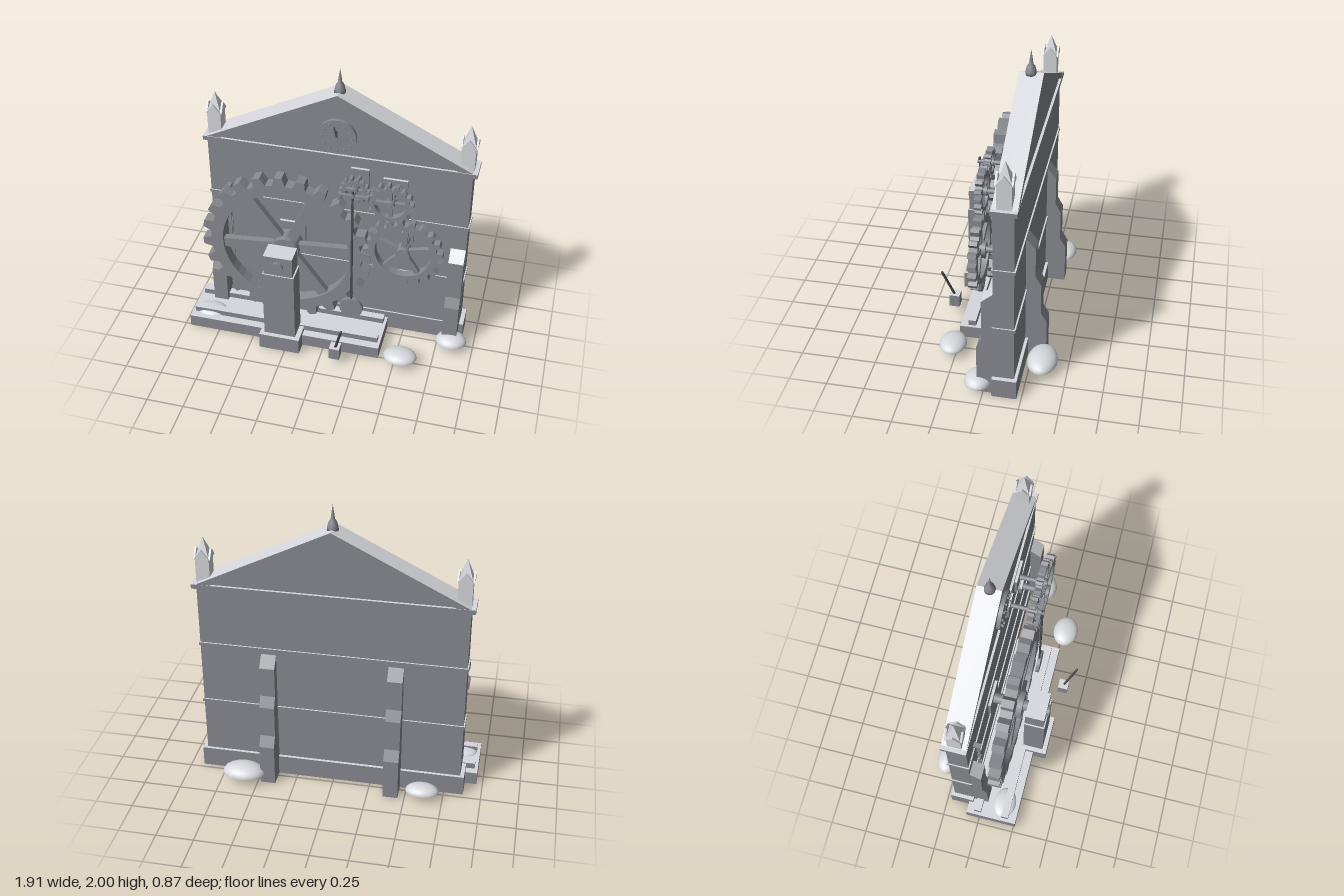
import * as THREE from 'three';

const flat = (name, color) => {
  const m = new THREE.MeshStandardMaterial({ color });
  m.name = name;
  return m;
};
const stone = flat('grey stone', 0x888a91);
const pale = flat('pale stone', 0xd6d8dd);
const iron = flat('dark iron', 0x4a4c52);
const wallZ = -0.07, midZ = -0.14, midX = 0.015;

// gives upward faces the pale colour and the others the grey one
function weather(geo) {
  const g = geo.index ? geo.toNonIndexed() : geo;
  const n = g.attributes.normal;
  g.clearGroups();
  for (let i = 0; i < n.count; i += 3) g.addGroup(i, 3, n.getY(i) > 0.7 ? 1 : 0);
  return g;
}

export function createModel() {
  const root = new THREE.Group();

  const add = (name, geo, material, x = 0, y = 0, z = 0, parent = root) => {
    const m = new THREE.Mesh(geo, material);
    m.name = name;
    m.position.set(x, y, z);
    parent.add(m);
    return m;
  };
  const masonry = (name, geo, x, y, z) => add(name, weather(geo), [stone, pale], x, y, z);
  // boxes given by their limits on each axis
  const box = (x0, x1, y0, y1, z0, z1) =>
    new THREE.BoxGeometry(x1 - x0, y1 - y0, z1 - z0).translate((x0 + x1) / 2, (y0 + y1) / 2, (z0 + z1) / 2);
  const block = (name, ...limits) => masonry(name, box(...limits));
  // cylinder lying along z
  const disc = (name, x, y, r, z0, z1, sides = 24) =>
    add(name, new THREE.CylinderGeometry(r, r, z1 - z0, sides).rotateX(Math.PI / 2), stone, x, y, (z0 + z1) / 2);
  const polygon = pts => new THREE.Shape(pts.map(p => new THREE.Vector2(...p)));
  const slab = (shape, depth) => new THREE.ExtrudeGeometry(shape, { depth, bevelEnabled: false, curveSegments: 24 });

  // wall, plinth and string courses
  block('wall', -0.854, 0.885, 0.12, 1.39, -0.2, wallZ);
  block('plinth', -0.88, 0.914, 0, 0.14, -0.22, -0.06);
  block('cornice', -0.882, 0.914, 1.38, 1.41, -0.222, -0.06);
  for (const y of [0.53, 0.97]) block('stringCourse', -0.862, 0.893, y - 0.01, y + 0.01, -0.21, -0.062);

  // gable with sloping copings
  masonry('gable', slab(polygon([[-0.84, 1.4], [0.87, 1.4], [midX, 1.82]]), 0.13), 0, 0, -0.205);
  const coping = [[-0.865, 1.405], [-0.775, 1.405], [midX, 1.798], [0.805, 1.405], [0.895, 1.405], [midX, 1.845]];
  masonry('gableCoping', slab(polygon(coping), 0.155), 0, 0, -0.22);

  // finial
  const finial = [[0, 1.82], [0.037, 1.83], [0.035, 1.85], [0.026, 1.885], [0.014, 1.9], [0.011, 1.925], [0, 2]];
  add('finial', new THREE.LatheGeometry(finial.map(p => new THREE.Vector2(...p)), 14), stone, midX, 0, midZ);

  // corner pinnacles with four small gables each
  for (const x of [-0.808, 0.842]) {
    const pinnacle = new THREE.Group();
    pinnacle.name = 'pinnacle';
    pinnacle.position.set(x, 0, midZ);
    root.add(pinnacle);
    add('shaft', new THREE.BoxGeometry(0.09, 0.18, 0.09), pale, 0, 1.49, 0, pinnacle);
    const spire = new THREE.ConeGeometry(0.064, 0.135, 4).rotateY(Math.PI / 4).toNonIndexed();
    spire.computeVertexNormals();
    add('spire', spire, pale, 0, 1.645, 0, pinnacle);
    for (let i = 0; i < 4; i++) {
      const g = slab(polygon([[-0.05, 1.575], [0.05, 1.575], [0, 1.64]]), 0.013);
      g.translate(0, 0, 0.042).rotateY(i * Math.PI / 2);
      add('gablet', g, pale, 0, 0, 0, pinnacle);
    }
  }

  // stepped buttresses: profile is [distance out, height]
  const buttress = (name, x, profile, back) => {
    const g = slab(polygon(profile), 0.1).translate(0, 0, -0.05);
    g.rotateY(back ? Math.PI / 2 : -Math.PI / 2);
    masonry(name, g, x, 0, back ? -0.19 : -0.08);
  };
  const frontProfile = [[0, 0], [0.12, 0], [0.12, 0.36], [0.085, 0.43], [0.085, 0.725], [0, 0.8]];
  const backProfile = [[0, 0], [0.15, 0], [0.15, 0.29], [0.11, 0.36], [0.11, 0.58], [0.072, 0.65], [0.072, 0.86], [0, 0.945]];
  for (const x of [-0.802, 0.834]) buttress('frontButtress', x, frontProfile, false);
  for (const x of [-0.405, 0.43]) buttress('backButtress', x, backProfile, true);

  // clock with hour marks and hands
  const cx = 0.018, cy = 1.55;
  disc('clockFace', cx, cy, 0.125, -0.08, -0.05, 36);
  for (let i = 0; i < 12; i++) {
    const a = i * Math.PI / 6;
    disc('hourMark', cx + 0.098 * Math.sin(a), cy + 0.098 * Math.cos(a), 0.008, -0.052, -0.038, 8);
  }
  for (const [len, a] of [[0.08, 0.2], [0.055, -0.05]]) {
    const hand = new THREE.BoxGeometry(0.008, len, 0.006).translate(0, len / 2, 0);
    add('clockHand', hand, iron, cx, cy, -0.042).rotation.z = a;
  }
  disc('clockBoss', cx, cy, 0.008, -0.052, -0.036, 10);

  // machine bed, rails and bearing pier
  block('machineBed', -0.96, 0.388, 0, 0.09, -0.09, 0.26);
  block('backRail', -0.938, 0.368, 0.08, 0.13, -0.04, 0.01);
  block('frontRail', -0.938, 0.368, 0.08, 0.13, 0.155, 0.205);
  block('pierFoot', -0.427, -0.147, 0, 0.12, 0.155, 0.35);
  block('pier', -0.396, -0.18, 0.1, 0.645, 0.18, 0.32);
  block('pierCap', -0.386, -0.19, 0.64, 0.795, 0.182, 0.312);

  // spoked gear: toothed ring, spokes, hub and axle
  const gear = (name, o) => {
    const wheel = new THREE.Group();
    wheel.name = name;
    wheel.position.set(o.x, o.y, 0.09);
    root.add(wheel);
    const pts = [], step = Math.PI * 2 / o.teeth;
    for (let i = 0; i < o.teeth; i++)
      for (const [f, r] of [[-0.32, o.rootR], [-0.17, o.outer], [0.17, o.outer], [0.32, o.rootR]]) {
        const a = o.phase + (i + f) * step;
        pts.push([r * Math.cos(a), r * Math.sin(a)]);
      }
    const ring = polygon(pts);
    ring.holes.push(new THREE.Path().absarc(0, 0, o.inner, 0, Math.PI * 2, true));
    add('toothedRing', slab(ring, o.depth), stone, 0, 0, -o.depth / 2, wheel);
    for (let i = 0; i < o.spokes; i++) {
      const len = o.inner * 1.04;
      const spoke = new THREE.BoxGeometry(len, o.spokeW, o.depth * 0.55).translate(len / 2, 0, 0);
      add('spoke', spoke, stone, 0, 0, 0, wheel).rotation.z = o.spokePhase + i * Math.PI * 2 / o.spokes;
    }
    disc('hub', o.x, o.y, o.hub, 0.09 - o.depth * 0.75, 0.09 + o.depth * 0.75);
    disc('axle', o.x, o.y, o.axle, wallZ - 0.01, o.axleEnd, 16);
    const p = o.plate;
    block('wallBearing', o.x - p, o.x + p, o.y - p, o.y + p, wallZ - 0.01, -0.052);
  };
  gear('mainWheel', { x: -0.287, y: 0.725, outer: 0.575, rootR: 0.515, inner: 0.435, teeth: 24, phase: 1.635, spokes: 6,
    spokePhase: 0.09, spokeW: 0.07, hub: 0.095, axle: 0.036, depth: 0.08, axleEnd: 0.33, plate: 0.09 });
  gear('middleGear', { x: 0.498, y: 0.835, outer: 0.262, rootR: 0.225, inner: 0.185, teeth: 20, phase: 0.1, spokes: 5,
    spokePhase: 0.25, spokeW: 0.035, hub: 0.045, axle: 0.02, depth: 0.055, axleEnd: 0.13, plate: 0.04 });
  gear('upperGear', { x: 0.402, y: 1.205, outer: 0.152, rootR: 0.125, inner: 0.1, teeth: 16, phase: 0.1, spokes: 4,
    spokePhase: 0.05, spokeW: 0.024, hub: 0.03, axle: 0.016, depth: 0.045, axleEnd: 0.13, plate: 0.08 });
  gear('escapeGear', { x: 0.17, y: 1.27, outer: 0.098, rootR: 0.078, inner: 0.06, teeth: 14, phase: 0, spokes: 4,
    spokePhase: 0, spokeW: 0.018, hub: 0.025, axle: 0.014, depth: 0.04, axleEnd: 0.165, plate: 0.06 });

  // pendulum and its pallet arm
  add('pendulumRod', box(0.164, 0.177, 0.33, 1.3, 0.147, 0.159), iron);
  disc('pendulumBob', 0.172, 0.33, 0.08, 0.142, 0.166, 28);
  add('palletArm', box(0.073, 0.268, 1.245, 1.262, 0.125, 0.145), stone);
  for (const x of [0.081, 0.26]) add('pallet', box(x - 0.01, x + 0.01, 1.215, 1.262, 0.08, 0.145), stone);

  // hanging chain with a wall bracket
  add('chainBracket', box(-0.732, -0.702, 1.04, 1.06, wallZ - 0.01, -0.022), stone);
  add('chainCore', box(-0.721, -0.713, 0.13, 1.045, -0.042, -0.034), stone);
  for (let i = 0; i < 14; i++) {
    const link = new THREE.BoxGeometry(0.026, 0.04, 0.014);
    add('chainLink', link, stone, -0.717, 1.005 - i * 0.064, -0.038).rotation.y = i % 2 * Math.PI / 2;
  }

  // control lever
  block('leverBox', 0.075, 0.145, 0.05, 0.14, 0.32, 0.39);
  const a = new THREE.Vector3(0.11, 0.12, 0.355), b = new THREE.Vector3(0.167, 0.35, 0.428);
  add('lever', new THREE.TubeGeometry(new THREE.LineCurve3(a, b), 1, 0.009, 8), iron);
  add('leverTip', new THREE.SphereGeometry(0.0095, 8, 6), iron, b.x, b.y, b.z);

  // half-buried boulders with flat undersides: x, y, z, half sizes
  for (const [x, y, z, rx, ry, rz] of [[-0.83, 0.085, 0.155, 0.11, 0.035, 0.08], [0.54, 0.066, 0.272, 0.115, 0.052, 0.09],
    [0.85, 0.066, 0.037, 0.105, 0.056, 0.09], [-0.615, 0.066, -0.315, 0.112, 0.05, 0.075], [0.595, 0.066, -0.335, 0.145, 0.065, 0.1]]) {
    const dome = new THREE.SphereGeometry(1, 18, 7, 0, Math.PI * 2, 0, Math.PI / 2);
    add('boulder', dome, pale, x, y, z).scale.set(rx, ry, rz);
    add('boulderUnderside', new THREE.CircleGeometry(1, 18).rotateX(Math.PI / 2), pale, x, y, z).scale.set(rx, 1, rz);
  }

  return root;
}
